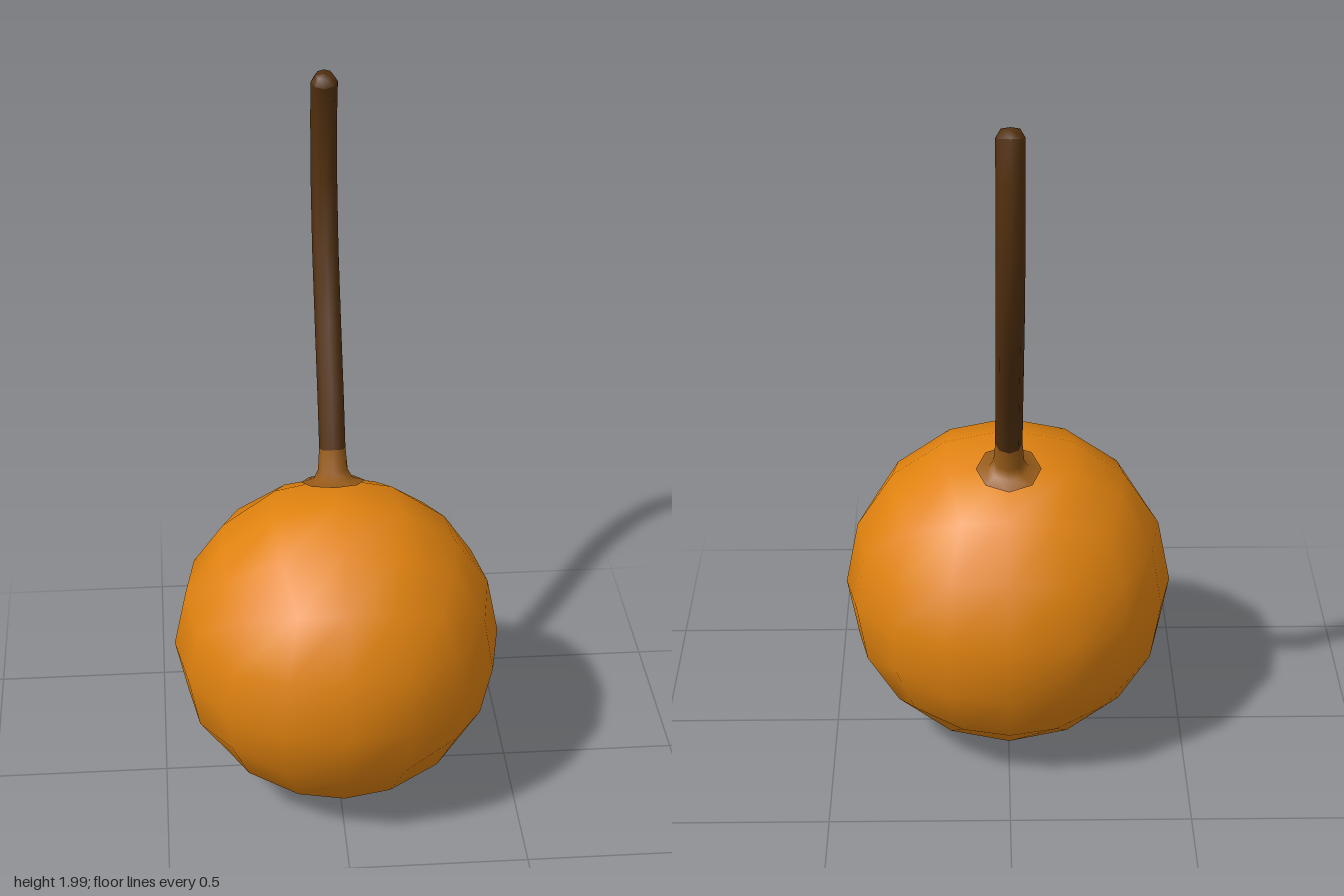
import * as THREE from 'three';

const fruitSkin = new THREE.MeshStandardMaterial({ color: 0xe0820f });
fruitSkin.name = 'orange skin';
const collarBrown = new THREE.MeshStandardMaterial({ color: 0x965a18 });
collarBrown.name = 'collar brown';
const stemBrown = new THREE.MeshStandardMaterial({ color: 0x52300f });
stemBrown.name = 'stem brown';

const RADIUS = 0.462;
const CENTRE = new THREE.Vector3(0, 0.46, 0.025);

// Straight segments between points, so the tube keeps its few bends
class BentPath extends THREE.Curve {
  constructor(points) { super(); this.points = points; }
  getPoint(t, target = new THREE.Vector3()) {
    const n = this.points.length - 1;
    const i = Math.min(Math.floor(t * n + 1e-9), n - 1);
    return target.lerpVectors(this.points[i], this.points[i + 1], t * n - i);
  }
  getPointAt(t, target) { return this.getPoint(t, target); }
  getTangentAt(t, target) { return this.getTangent(t, target); }
}

function add(group, name, geometry, material) {
  const mesh = new THREE.Mesh(geometry, material);
  mesh.name = name;
  group.add(mesh);
  return mesh;
}

// Box with four cells per side, blown up into a smooth ball
function ballGeometry(radius) {
  const geometry = new THREE.BoxGeometry(2, 2, 2, 4, 4, 4);
  const pos = geometry.attributes.position;
  const v = new THREE.Vector3();
  const spread = (c) => Math.tan(c * Math.PI / 4);
  for (let i = 0; i < pos.count; i++) {
    v.fromBufferAttribute(pos, i);
    v.set(spread(v.x), spread(v.y), spread(v.z)).normalize();
    geometry.attributes.normal.setXYZ(i, v.x, v.y, v.z);
    pos.setXYZ(i, v.x * radius, v.y * radius, v.z * radius);
  }
  return geometry;
}

export function createModel() {
  const model = new THREE.Group();
  model.name = 'cherry';

  // Fruit, leaning slightly forward
  const fruit = add(model, 'fruit', ballGeometry(RADIUS), fruitSkin);
  fruit.position.copy(CENTRE);
  fruit.rotation.x = 0.094;

  // Flared collar where the stem leaves the fruit
  const profile = [[0.09, 0.453], [0.055, 0.463], [0.042, 0.487], [0.037, 0.55]]
    .map(([r, h]) => new THREE.Vector2(r, h));
  const collar = add(model, 'stemCollar', new THREE.LatheGeometry(profile, 8), collarBrown);
  collar.position.copy(CENTRE);
  collar.rotation.x = -0.305;

  // Stem, curving back and then up
  const points = [[0.98, -0.138], [1.11, -0.197], [1.28, -0.293], [1.48, -0.398],
    [1.68, -0.448], [1.86, -0.448], [1.965, -0.42]]
    .map(([y, z]) => new THREE.Vector3(0, y, z));
  const path = new BentPath(points);
  add(model, 'stem', new THREE.TubeGeometry(path, points.length - 1, 0.037, 8, false), stemBrown);

  // Blunt rounded tip
  const tipProfile = [[0.037, 0], [0.024, 0.022], [0, 0.026]].map(([r, h]) => new THREE.Vector2(r, h));
  const tip = add(model, 'stemTip', new THREE.LatheGeometry(tipProfile, 8), stemBrown);
  tip.position.copy(points[points.length - 1]);
  tip.quaternion.setFromUnitVectors(new THREE.Vector3(0, 1, 0), path.getTangentAt(1));

  return model;
}
